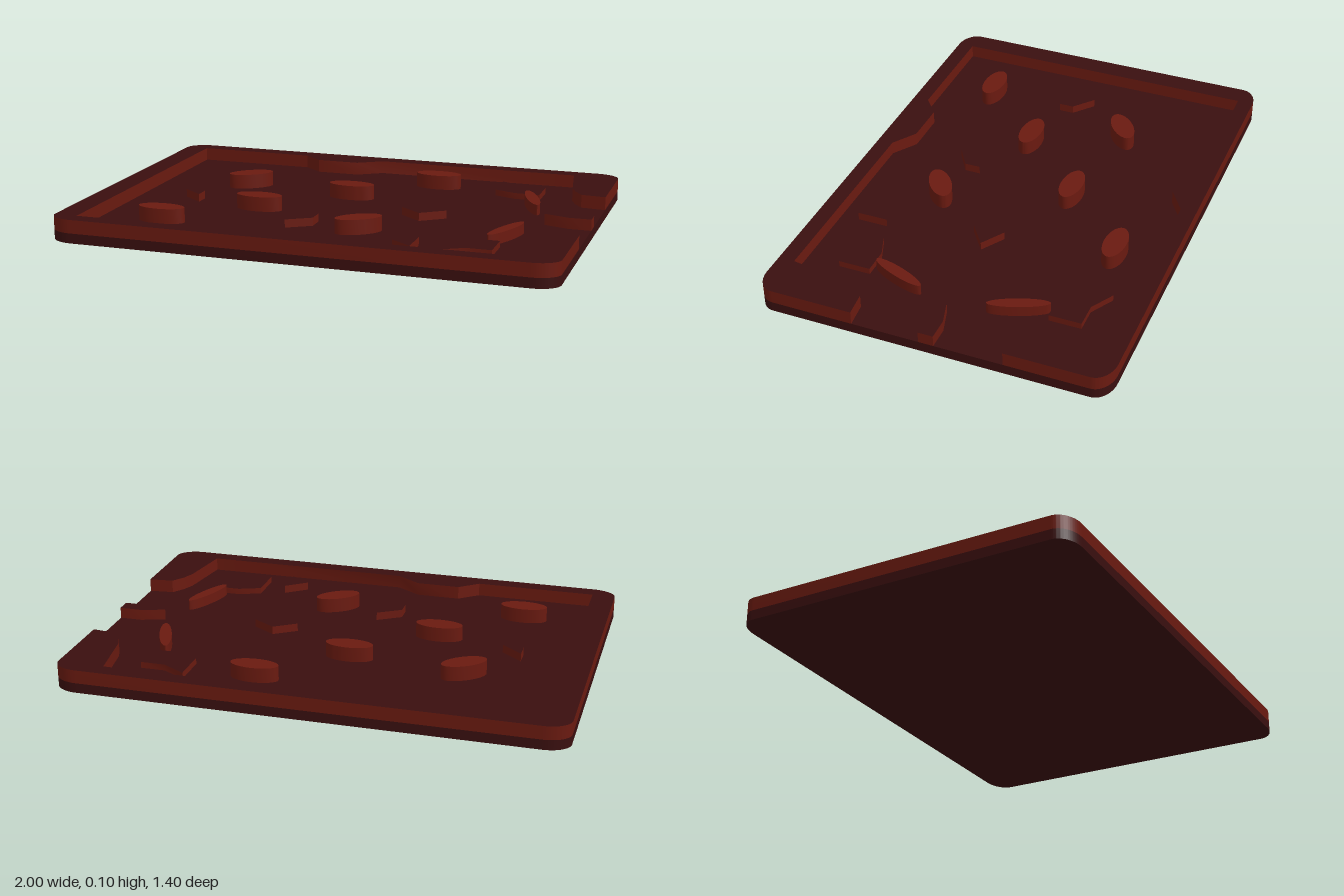
import * as THREE from 'three';
import { toCreasedNormals } from 'three/addons/utils/BufferGeometryUtils.js';

const FLOOR = 0.04, RIM = 0.094;
const dark = new THREE.MeshStandardMaterial({ color: 0x3a0f0f });
const red = new THREE.MeshStandardMaterial({ color: 0x6a1a10 });

// Upright prism from a plan shape, drawn with x right and -z up
function prism(name, shape, bottom, top, capMaterial, sideMaterial) {
  const geo = new THREE.ExtrudeGeometry(shape, { depth: top - bottom, bevelEnabled: false, curveSegments: 16 });
  geo.rotateX(-Math.PI / 2);
  geo.translate(0, bottom, 0);
  const mesh = new THREE.Mesh(toCreasedNormals(geo, 0.6), [capMaterial, sideMaterial]);
  mesh.name = name;
  return mesh;
}

// Plan polygon from [x, z] corners
const polygon = (points) => new THREE.Shape(points.map(([x, z]) => new THREE.Vector2(x, -z)));

const flipZ = (points) => points.map(([x, z]) => [x, -z]);

// Rounded outer edge, from the right side's front end clockwise to its back end
function outerEdge(startZ, endZ) {
  const s = new THREE.Shape();
  const h = Math.PI / 2;
  s.moveTo(1, -startZ);
  s.lineTo(1, -0.63);
  s.absellipse(0.9, -0.63, 0.1, 0.07, 0, -h, true);
  s.lineTo(-0.9, -0.7);
  s.absellipse(-0.9, -0.63, 0.1, 0.07, -h, -2 * h, true);
  s.lineTo(-1, 0.63);
  s.absellipse(-0.9, 0.63, 0.1, 0.07, 2 * h, h, true);
  s.lineTo(0.9, 0.7);
  s.absellipse(0.9, 0.63, 0.1, 0.07, h, 0, true);
  s.lineTo(1, -endZ);
  return s;
}

export function createModel() {
  const model = new THREE.Group();
  model.name = 'arenaBoard';

  // Base plate
  model.add(prism('basePlate', outerEdge(0, -0.01), 0, FLOOR, dark, dark));

  // Wall open on the right, with a buttress on the front and back
  const wall = outerEdge(0.3, -0.3);
  const inner = [
    [0.9, -0.31], [0.865, -0.36], [0.845, -0.41], [0.81, -0.635],
    [-0.05, -0.635], [-0.15, -0.57], [-0.33, -0.57], [-0.41, -0.635], [-0.905, -0.635],
  ];
  for (const [x, z] of [...inner, ...flipZ(inner).reverse()]) wall.lineTo(x, -z);
  model.add(prism('wall', wall, FLOOR, RIM, dark, red));

  // Pointed divider in the opening
  model.add(prism('divider', polygon([[0.81, 0], [0.91, -0.03], [1, -0.03], [1, 0.03], [0.91, 0.03]]),
    FLOOR, 0.085, dark, red));

  // Mirrored pair of larger blocks
  const block = [[0.52, 0.55], [0.615, 0.495], [0.715, 0.495], [0.715, 0.365], [0.61, 0.365], [0.52, 0.4]];
  model.add(prism('frontBlock', polygon(block), FLOOR, 0.065, dark, red));
  model.add(prism('backBlock', polygon(flipZ(block)), FLOOR, 0.065, dark, red));

  // Small angular obstacles
  const obstacles = [
    [[0.235, 0.03], [0.325, -0.03], [0.42, 0.03], [0.325, 0.1]],
    [[0.335, 0.5], [0.42, 0.435], [0.42, 0.56]],
    [[-0.145, 0.295], [-0.05, 0.235], [-0.05, 0.3], [-0.145, 0.36]],
    [[-0.71, -0.035], [-0.71, 0.03], [-0.625, 0.095], [-0.625, 0.035]],
  ];
  for (const corners of obstacles) model.add(prism('obstacle', polygon(corners), FLOOR, 0.073, dark, red));

  // Oval pillars and slanted guides: x, z, half length, half width, turn, top
  const ovals = [
    ['ovalPillar', -0.52, -0.23, 0.095, 0.045, 0.6, 0.1],
    ['ovalPillar', -0.045, -0.175, 0.097, 0.045, 0, 0.1],
    ['ovalPillar', 0.255, -0.465, 0.097, 0.045, 0, 0.1],
    ['ovalPillar', -0.345, 0.12, 0.097, 0.045, 0, 0.1],
    ['ovalPillar', -0.645, 0.415, 0.097, 0.045, 0, 0.1],
    ['ovalPillar', 0.145, 0.325, 0.095, 0.045, 0.6, 0.1],
    ['slantedGuide', 0.71, -0.245, 0.12, 0.025, -1.2, 0.083],
    ['slantedGuide', 0.71, 0.245, 0.12, 0.025, 1.2, 0.083],
  ];
  for (const [name, x, z, a, b, turn, top] of ovals) {
    const oval = new THREE.Shape();
    oval.absellipse(x, -z, a, b, 0, Math.PI * 2, false, turn);
    model.add(prism(name, oval, FLOOR, top, red, red));
  }
  return model;
}
